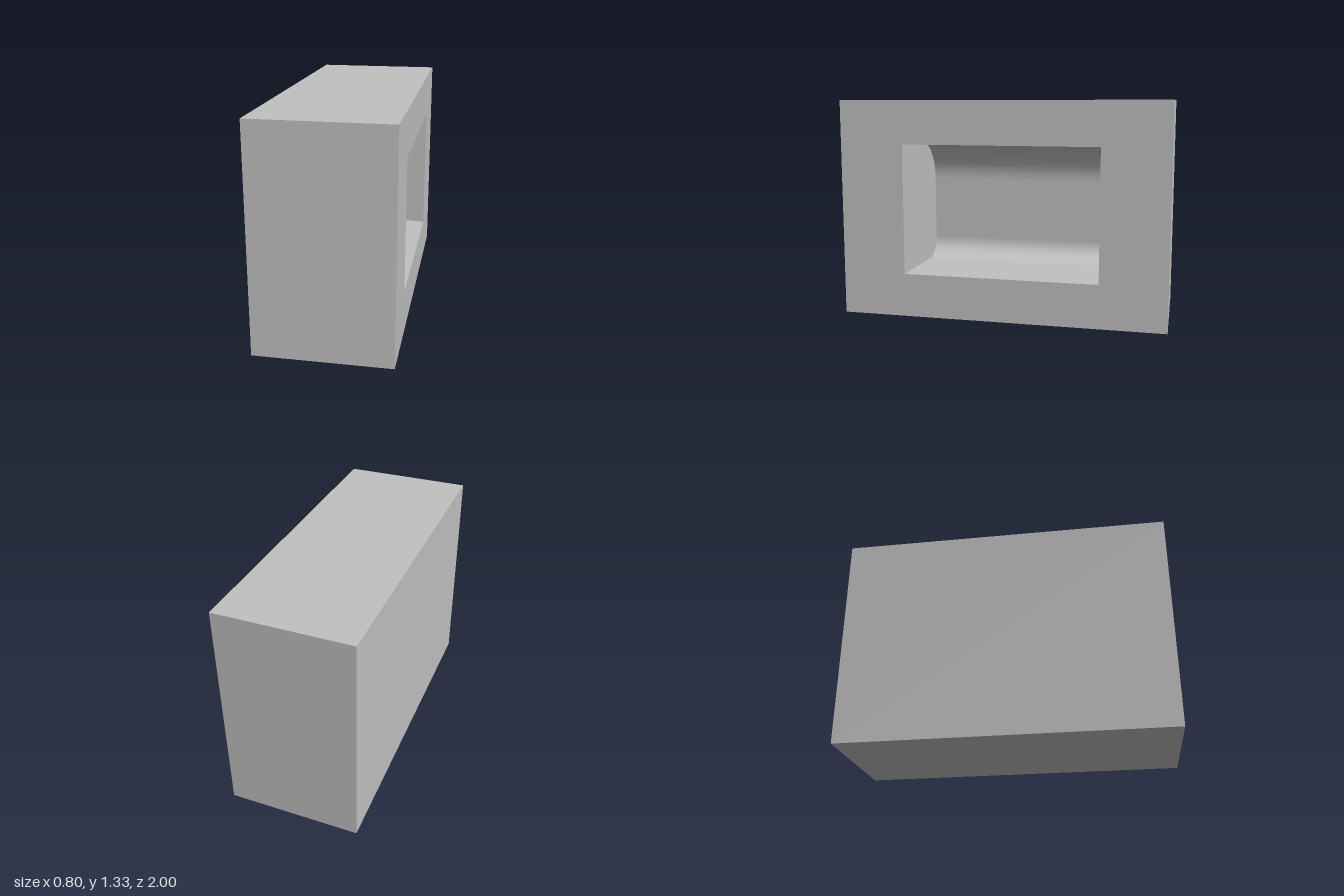
import * as THREE from 'three';

const W = 0.8, H = 1.333, L = 2;                   // block size in x, y, z
const Y0 = 0.267, Y1 = 1.067, HALF = 0.6;          // pocket opening
const FRONT = W / 2, BACK = -0.2;                  // pocket mouth and back wall in x
const R_TOP = 0.267, R_BOTTOM = 0.133, STEPS = 24; // pocket fillets

// Pocket cross-section from the upper lip, round the back, to the lower lip
function pocketProfile() {
  const rows = [{ x: FRONT, y: Y1, nx: 0, ny: -1 }];
  const arc = (r, cy, start) => {
    for (let i = 0; i <= STEPS; i++) {
      const a = start + (i / STEPS) * Math.PI / 2;
      const c = Math.cos(a), s = Math.sin(a);
      rows.push({ x: BACK + r + r * c, y: cy + r * s, nx: -c, ny: -s });
    }
  };
  arc(R_TOP, Y1 - R_TOP, Math.PI / 2);
  arc(R_BOTTOM, Y0 + R_BOTTOM, Math.PI);
  rows.push({ x: FRONT, y: Y0, nx: 0, ny: 1 });
  return rows;
}

export function createModel() {
  const group = new THREE.Group();
  const grey = new THREE.MeshStandardMaterial({ color: 0xc0c0c0 });
  grey.name = 'grey';
  const add = (name, geometry) => {
    const mesh = new THREE.Mesh(geometry, grey);
    mesh.name = name;
    group.add(mesh);
  };

  // Outer block without its +x face
  const block = new THREE.BoxGeometry(W, H, L).translate(0, H / 2, 0);
  block.setIndex(Array.from(block.index.array).slice(6));
  block.clearGroups();
  add('blockShell', block);

  // The +x face, a frame around the pocket
  const rect = (T, x, y0, y1) => {
    const p = new T();
    p.moveTo(-x, y0).lineTo(x, y0).lineTo(x, y1).lineTo(-x, y1).closePath();
    return p;
  };
  const frame = rect(THREE.Shape, L / 2, 0, H);
  frame.holes.push(rect(THREE.Path, HALF, Y0, Y1));
  add('pocketFrame', new THREE.ShapeGeometry(frame).rotateY(Math.PI / 2).translate(FRONT, 0, 0));

  // Ceiling, back wall and floor in one smooth sweep
  const rows = pocketProfile();
  const liner = new THREE.PlaneGeometry(1, 1, 1, rows.length - 1);
  rows.forEach((p, i) => {
    for (let k = 0; k < 2; k++) {
      liner.attributes.position.setXYZ(2 * i + k, p.x, p.y, k ? -HALF : HALF);
      liner.attributes.normal.setXYZ(2 * i + k, p.nx, p.ny, 0);
    }
  });
  add('pocketLiner', liner);

  // Flat pocket ends, both facing inwards
  const section = new THREE.Shape(rows.map((p) => new THREE.Vector2(p.x, p.y)));
  for (const side of [-1, 1]) {
    const end = new THREE.ShapeGeometry(section).translate(0, 0, side * HALF);
    if (side > 0) {
      end.index.array.reverse();
      end.computeVertexNormals();
    }
    add(side > 0 ? 'pocketFrontEnd' : 'pocketBackEnd', end);
  }
  return group;
}
